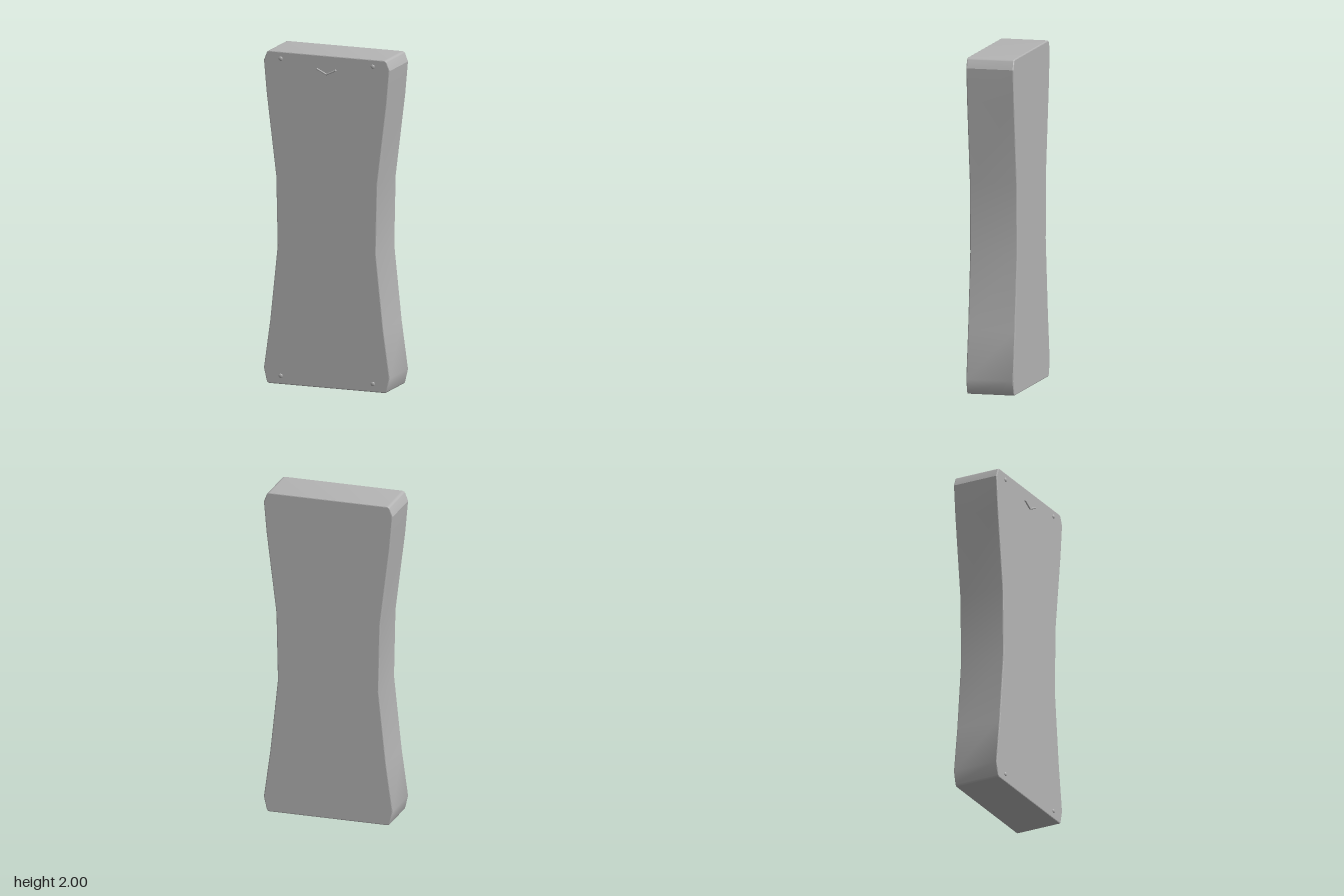
import * as THREE from 'three';
import { toCreasedNormals } from 'three/addons/utils/BufferGeometryUtils.js';

const FRONT = 0.139, BACK = -0.15, BEVEL = 0.006;

// Right half of the waisted outline, bottom to top, between the rounded corners
const SIDE = [
  [0.383, 0.018], [0.4, 0.09], [0.36, 0.38], [0.313, 0.83],
  [0.322, 1.25], [0.382, 1.74], [0.4, 1.94], [0.384, 1.982],
];

function createBody(material) {
  const shape = new THREE.Shape();
  shape.moveTo(-0.364, 0);
  shape.lineTo(0.364, 0);
  shape.quadraticCurveTo(0.379, 0, ...SIDE[0]);
  SIDE.slice(1).forEach(([x, y]) => shape.lineTo(x, y));
  shape.quadraticCurveTo(0.378, 2, 0.36, 2);
  shape.lineTo(-0.36, 2);
  const left = [...SIDE].reverse();
  shape.quadraticCurveTo(-0.378, 2, -left[0][0], left[0][1]);
  left.slice(1).forEach(([x, y]) => shape.lineTo(-x, y));
  shape.quadraticCurveTo(-0.379, 0, -0.364, 0);

  const geometry = new THREE.ExtrudeGeometry(shape, {
    depth: FRONT - BACK - 2 * BEVEL,
    bevelSize: BEVEL,
    bevelThickness: BEVEL,
    bevelOffset: -BEVEL,
    bevelSegments: 2,
    curveSegments: 5,
  });
  geometry.translate(0, 0, BACK + BEVEL);
  const body = new THREE.Mesh(toCreasedNormals(geometry, 0.38), material);
  body.name = 'body';
  return body;
}

// V-shaped wire near the top, with a small ball at each end and the bend
function createChevron(material) {
  const chevron = new THREE.Group();
  chevron.name = 'chevron';
  const z = FRONT + 0.004;
  const bend = new THREE.Vector3(0, 1.887, z);
  const addBall = (point, radius) => {
    const ball = new THREE.Mesh(new THREE.SphereGeometry(radius, 12, 8), material);
    ball.position.copy(point);
    ball.name = 'chevronBall';
    chevron.add(ball);
  };
  addBall(bend, 0.005);
  for (const side of [-1, 1]) {
    const end = new THREE.Vector3(side * 0.057, 1.915, z);
    const arm = new THREE.Mesh(
      new THREE.TubeGeometry(new THREE.LineCurve3(bend, end), 1, 0.005, 10), material);
    arm.name = 'chevronArm';
    chevron.add(arm);
    addBall(end, 0.0065);
  }
  return chevron;
}

// Flattened dome fastened to the front face
function createStud(x, y, material) {
  const stud = new THREE.Mesh(new THREE.SphereGeometry(0.013, 16, 10), material);
  stud.scale.z = 0.45;
  stud.position.set(x, y, FRONT);
  stud.name = 'stud';
  return stud;
}

export function createModel() {
  const grey = new THREE.MeshStandardMaterial({ color: 0xb4b4b4 });
  grey.name = 'grey';

  const model = new THREE.Group();
  model.name = 'waistedPanel';
  model.add(createBody(grey), createChevron(grey));
  for (const x of [-0.292, 0.292]) {
    for (const y of [0.05, 1.957]) model.add(createStud(x, y, grey));
  }
  return model;
}
